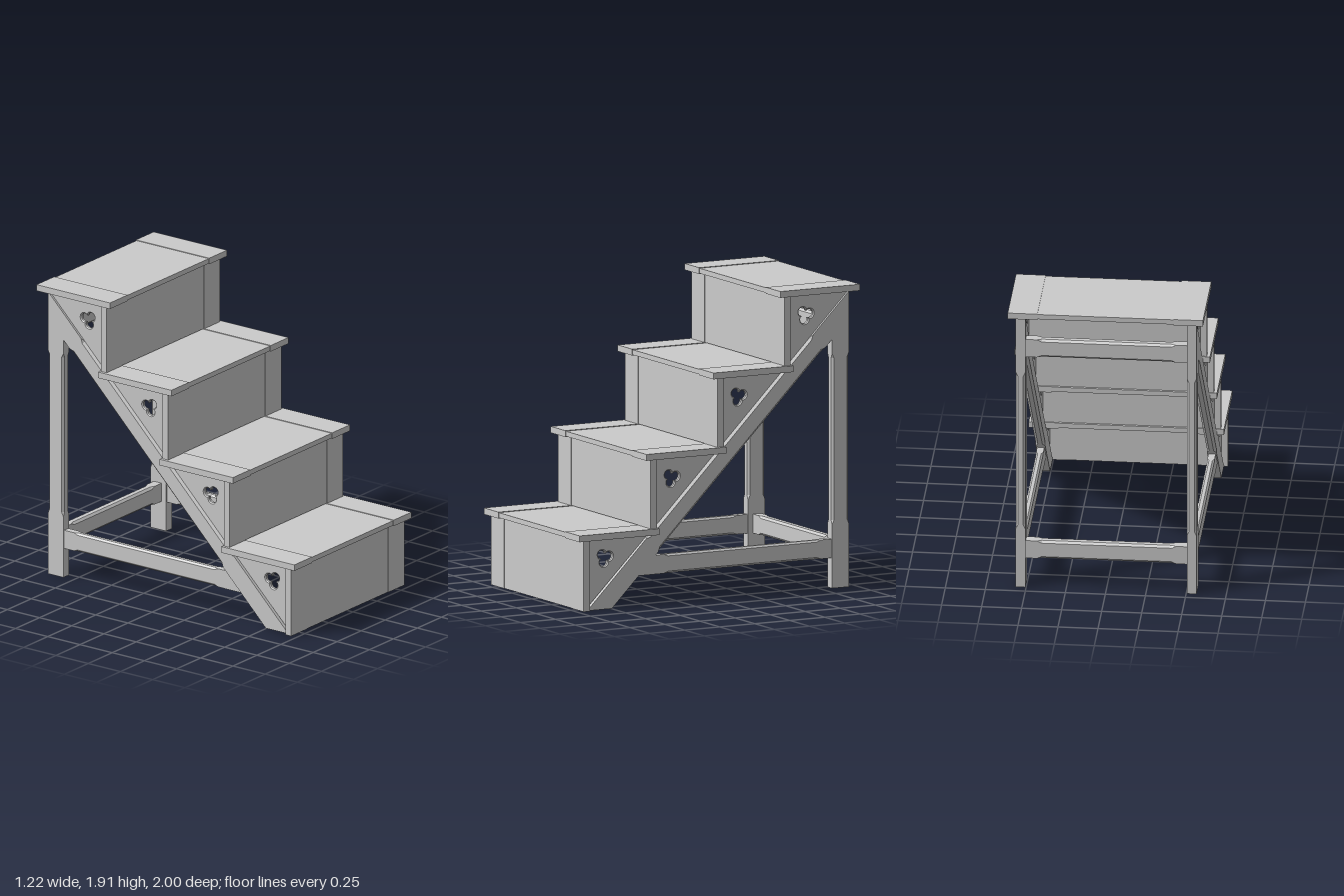
import * as THREE from 'three';

const STEPS = 4, RISE = 0.475, RUN = 0.477;
const material = new THREE.MeshStandardMaterial({ color: 0xcccccc, flatShading: true });

function add(parent, name, geometry, x = 0, y = 0, z = 0) {
  const mesh = new THREE.Mesh(geometry, material);
  mesh.name = name;
  mesh.position.set(x, y, z);
  parent.add(mesh);
  return mesh;
}

// Box given by its limits on each axis
function slab(parent, name, [x0, x1], [y0, y1], [z0, z1]) {
  return add(parent, name, new THREE.BoxGeometry(x1 - x0, y1 - y0, z1 - z0),
    (x0 + x1) / 2, (y0 + y1) / 2, (z0 + z1) / 2);
}

// Timber rising along y from 0: square ends (optionally cut at a slope), stopped chamfers between
function timber(width, depth, length, chamfer, stopA, stopB, slopeA = 0, slopeB = 0) {
  const w = width / 2, d = depth / 2, run = 0.03;
  const rings = [
    [0, 0, slopeA], [stopA, 0, 0], [stopA + run, chamfer, 0],
    [length - stopB - run, chamfer, 0], [length - stopB, 0, 0], [length, 0, slopeB],
  ];
  const positions = [], index = [];
  for (const [y, c, slope] of rings) {
    const outline = [[w, d - c], [w - c, d], [c - w, d], [-w, d - c],
      [-w, c - d], [c - w, -d], [w - c, -d], [w, c - d]];
    for (const [x, z] of outline) positions.push(x, y + slope * z, z);
  }
  for (let r = 0; r < rings.length - 1; r++) {
    for (let j = 0; j < 8; j++) {
      const a = r * 8 + j, b = r * 8 + (j + 1) % 8;
      index.push(a, a + 8, b + 8, a, b + 8, b);
    }
  }
  const last = (rings.length - 1) * 8;
  for (let j = 1; j < 7; j++) {
    index.push(0, j, j + 1, last, last + j + 1, last + j);
  }
  const indexed = new THREE.BufferGeometry();
  indexed.setAttribute('position', new THREE.Float32BufferAttribute(positions, 3));
  indexed.setIndex(index);
  const geometry = indexed.toNonIndexed();
  geometry.computeVertexNormals();
  return geometry;
}

// Triangular side panel pierced by a trefoil; shape x becomes model z
function panelGeometry() {
  const shape = new THREE.Shape([
    new THREE.Vector2(0.925, -0.02 + 0.01),
    new THREE.Vector2(0.925, 0.455),
    new THREE.Vector2(0.455, 0.455),
  ]);
  const hole = new THREE.Path();
  for (let k = 0; k < 3; k++) {
    // one lobe points to the upper front corner
    const a = Math.PI / 4 + k * Math.PI * 2 / 3;
    hole.absarc(0.787 + 0.029 * Math.cos(a), 0.312 + 0.029 * Math.sin(a), 0.027, a - 2.24, a + 2.24, false);
  }
  hole.closePath();
  shape.holes.push(hole);
  const bevel = 0.007;
  const geometry = new THREE.ExtrudeGeometry(shape, {
    depth: 0.016, curveSegments: 12, bevelEnabled: true, bevelSegments: 1,
    bevelSize: bevel, bevelThickness: bevel, bevelOffset: -bevel,
  });
  geometry.translate(0, 0, -0.008);
  geometry.rotateY(-Math.PI / 2);
  return geometry;
}

export function createModel() {
  const model = new THREE.Group();
  model.name = 'stepLadder';
  const panel = panelGeometry();
  const thin = 0.004; // how far the middle boards sit below the end boards

  // Steps: three-part tread, three-part riser and two pierced panels each
  for (let i = 0; i < STEPS; i++) {
    const step = new THREE.Group();
    step.name = `step${i + 1}`;
    step.position.set(0, i * RISE, -i * RUN);
    model.add(step);
    const foot = i === 0 ? 0 : 0.01;

    slab(step, 'treadMiddle', [-0.425, 0.425], [0.445 + thin, 0.485 - thin], [0.431 + thin, 1 - thin]);
    slab(step, 'riserMiddle', [-0.425, 0.425], [foot, 0.45], [0.915 + thin, 0.96 - thin]);
    for (const s of [-1, 1]) {
      const ends = (a, b) => (s > 0 ? [a, b] : [-b, -a]);
      slab(step, 'treadEnd', ends(0.425, 0.61), [0.445, 0.485], [0.431, 1]);
      slab(step, 'riserEnd', ends(0.425, 0.59), [foot, 0.445], [0.915, 0.96]);
      add(step, 'trefoilPanel', panel, s * 0.535, i === 0 ? 0.01 : 0, 0);
    }
  }

  // Sloping stringers, rear posts and low side rails
  const stringer = timber(0.06, 0.124, 1.7775 * Math.SQRT2, 0.016, 0.53, 0.3, -1, 1);
  const post = timber(0.06, 0.12, 1.63, 0.014, 0.4, 0.15, 0, -1);
  const sideRail = timber(0.045, 0.12, 1.42, 0.012, 0.1, 0.2);
  for (const s of [-1, 1]) {
    add(model, 'stringer', stringer, s * 0.535, 0, 0.8325).rotation.x = -Math.PI / 4;
    add(model, 'rearPost', post, s * 0.535, 0, -0.885);
    add(model, 'sideRail', sideRail, s * 0.535, 0.25, -0.85).rotation.x = Math.PI / 2;
  }

  // Two rails across the back
  const backRail = timber(0.12, 0.06, 1.03, 0.014, 0.08, 0.08);
  for (const [name, y] of [['lowerBackRail', 0.25], ['upperBackRail', 1.635]]) {
    add(model, name, backRail, 0.515, y, -0.89).rotation.z = Math.PI / 2;
  }
  return model;
}
